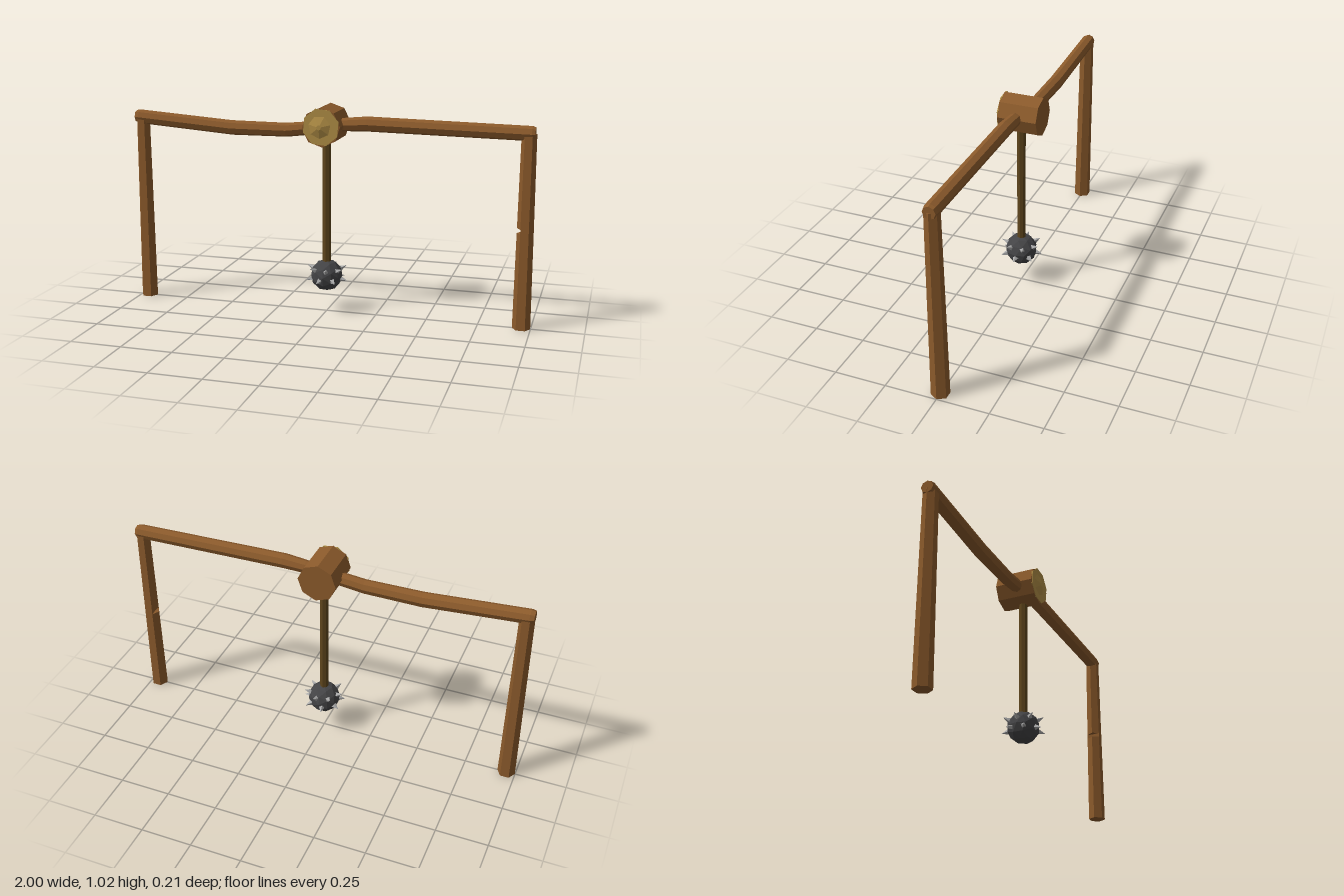
import * as THREE from 'three';

const mat = (color) => new THREE.MeshStandardMaterial({ color, flatShading: true });

// Unit prism whose vertices are moved ring by ring: place(stationIndex, unitX, unitZ) -> [x, y, z]
function loft(sides, count, thetaStart, place) {
  const geo = new THREE.CylinderGeometry(1, 1, 1, sides, count - 1, false, thetaStart);
  const p = geo.attributes.position;
  for (let i = 0; i < p.count; i++) {
    const row = Math.round((0.5 - p.getY(i)) * (count - 1));
    p.setXYZ(i, ...place(row, p.getX(i), p.getZ(i)));
  }
  geo.computeVertexNormals();
  return geo;
}

export function createModel() {
  const model = new THREE.Group();
  const wood = mat(0x8b5a2b), brass = mat(0xb08d45), shaft = mat(0x5e451c);
  const iron = mat(0x444446), steel = mat(0xaaaaaa);

  const add = (name, geo, material, x = 0, y = 0, z = 0, parent = model) => {
    const mesh = new THREE.Mesh(geo, material);
    mesh.name = name;
    mesh.position.set(x, y, z);
    parent.add(mesh);
    return mesh;
  };

  // Tapered hexagonal posts; one has a small notch in its inner edge
  const makePost = (side, notch) => {
    const ys = notch ? [0.93, 0.487, 0.484, 0.466, 0.463, 0] : [0.93, 0.47, 0];
    return loft(6, ys.length, Math.PI / 2, (row, ux, uz) => {
      const y = ys[row];
      const r = 0.043 - 0.008 * y / 0.93;
      let x = side * 0.956 + ux * r;
      if (notch && (row === 2 || row === 3) && ux * side < -0.9) x += side * 0.02;
      return [x, y, uz * r];
    });
  };
  add('rightPost', makePost(-1, false), wood);
  add('leftPost', makePost(1, true), wood);

  // Bent crossbeam: x, y, radius at each station
  const beam = [
    [0.985, 0.931, 0.03], [0.97, 0.931, 0.035], [0.2, 0.942, 0.036], [0.09, 0.935, 0.032],
    [0, 0.92, 0.032], [-0.2, 0.897, 0.034], [-0.48, 0.896, 0.036], [-0.97, 0.931, 0.035],
    [-0.99, 0.932, 0.03],
  ];
  add('crossbeam', loft(8, beam.length, 0, (row, ux, uz) => {
    const [x, y, r] = beam[row];
    return [x, y - ux * r, uz * r];
  }), wood);

  // Octagonal hub with a brass face plate and shallow boss
  const hub = new THREE.CylinderGeometry(0.094, 0.094, 0.192, 8);
  hub.rotateX(Math.PI / 2).rotateZ(0.06);
  add('hub', hub, wood, -0.004, 0.928, -0.009);
  const plate = new THREE.CylinderGeometry(0.091, 0.091, 0.006, 8);
  plate.rotateX(Math.PI / 2).rotateZ(0.3);
  add('facePlate', plate, brass, -0.004, 0.93, 0.087);
  const boss = new THREE.CylinderGeometry(0.012, 0.058, 0.015, 7);
  boss.rotateX(Math.PI / 2);
  add('boss', boss, brass, -0.01, 0.93, 0.0965);

  // Hanging shaft and spiked ball
  add('shaft', new THREE.CylinderGeometry(0.022, 0.022, 0.62, 8), shaft, 0, 0.55, 0);
  const ball = new THREE.Group();
  ball.name = 'spikedBall';
  ball.position.set(0, 0.185, 0);
  model.add(ball);
  add('ballCore', new THREE.IcosahedronGeometry(0.079, 1), iron, 0, 0, 0, ball);

  // Two staggered rings of four-sided spikes
  const up = new THREE.Vector3(0, 1, 0);
  const rings = [{ lift: 0.42, shift: 0.2 }, { lift: -0.2, shift: 0.65 }];
  for (const { lift, shift } of rings) {
    for (let i = 0; i < 7; i++) {
      const a = shift + (i * Math.PI * 2) / 7;
      const dir = new THREE.Vector3(Math.sin(a) * Math.cos(lift), Math.sin(lift), Math.cos(a) * Math.cos(lift));
      const spike = add('spike', new THREE.ConeGeometry(0.017, 0.042, 4), steel, 0, 0, 0, ball);
      spike.position.copy(dir).multiplyScalar(0.087);
      spike.quaternion.setFromUnitVectors(up, dir);
    }
  }

  return model;
}
